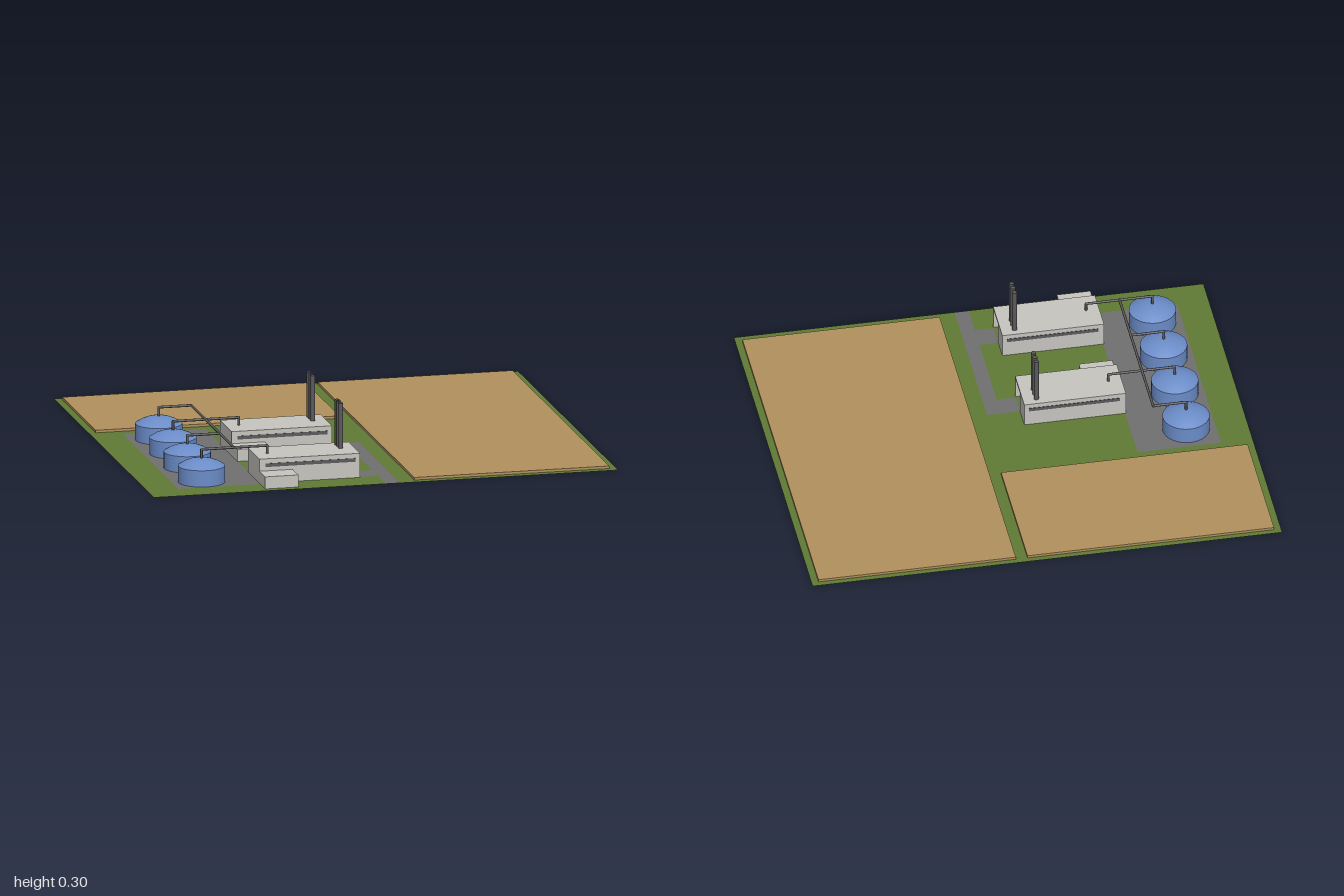
import * as THREE from 'three';

const mat = (name, color, double) => {
  const m = new THREE.MeshStandardMaterial({ color });
  m.name = name;
  if (double) m.side = THREE.DoubleSide;
  return m;
};

export function createModel() {
  const grass = mat('grass green', 0x5f7a35, true);
  const soil = mat('field tan', 0xb0905d, true);
  const asphalt = mat('asphalt grey', 0x717071, true);
  const wall = mat('wall grey', 0xc6c4bf);
  const steel = mat('dark steel', 0x5a5a5c);
  const blue = mat('tank blue', 0x6b8cc8, true);

  const root = new THREE.Group();
  root.name = 'industrialSite';
  const add = (parent, name, geo, material, x = 0, y = 0, z = 0) => {
    const m = new THREE.Mesh(geo, material);
    m.name = name;
    m.position.set(x, y, z);
    parent.add(m);
    return m;
  };
  // box given by its limits
  const box = (parent, name, material, x0, x1, y0, y1, z0, z1) =>
    add(parent, name, new THREE.BoxGeometry(x1 - x0, y1 - y0, z1 - z0), material,
      (x0 + x1) / 2, (y0 + y1) / 2, (z0 + z1) / 2);
  // flat sheets are outlined in x, z and laid on the ground
  const points = (list) => list.map(([x, z]) => new THREE.Vector2(x, -z));
  const rect = ([x0, x1, z0, z1]) => points([[x0, z0], [x1, z0], [x1, z1], [x0, z1]]);
  const sheet = (outline, holes = []) => {
    const s = new THREE.Shape(outline);
    s.holes = holes.map((h) => new THREE.Path(h));
    return new THREE.ShapeGeometry(s).rotateX(-Math.PI / 2);
  };

  const fields = [[-0.97, 0.08, -0.855, -0.265], [0.13, 0.97, -0.855, 0.845]];
  const pad = [-0.865, -0.51, -0.22, 0.76];
  const road = [[0, 0.88], [0, 0.74], [-0.08, 0.74], [-0.08, 0.637], [0, 0.637], [0, 0.25],
    [-0.08, 0.25], [-0.08, 0.152], [0.06, 0.152], [0.06, 0.88]];
  const tankX = -0.74, tankR = 0.099;
  const tankZ = [-0.095, 0.155, 0.405, 0.655];

  // Ground, cut out where the fields, pad and road lie
  const lawn = [[-1, -0.88], [-1, 0.88], ...road, [1, 0.88], [1, -0.88]];
  add(root, 'lawn', sheet(points(lawn), [...fields, pad].map(rect)), grass);
  add(root, 'road', sheet(points(road)), asphalt);
  const tankHoles = tankZ.map((z) =>
    new THREE.Path().absarc(tankX, -z, tankR, 0, Math.PI * 2).getPoints(16));
  add(root, 'tankPad', sheet(rect(pad), tankHoles), asphalt);

  // Raised fields: a top sheet with a low skirt
  const fieldH = 0.011;
  for (const f of fields) {
    const [x0, x1, z0, z1] = f;
    const g = new THREE.Group();
    g.name = 'field';
    add(g, 'fieldTop', sheet(rect(f)), soil, 0, fieldH, 0);
    const cx = (x0 + x1) / 2, cz = (z0 + z1) / 2;
    for (const s of [-1, 1]) {
      const a = add(g, 'fieldEdge', new THREE.PlaneGeometry(x1 - x0, fieldH), soil,
        cx, fieldH / 2, s > 0 ? z1 : z0);
      a.rotation.y = s > 0 ? 0 : Math.PI;
      const b = add(g, 'fieldEdge', new THREE.PlaneGeometry(z1 - z0, fieldH), soil,
        s > 0 ? x1 : x0, fieldH / 2, cz);
      b.rotation.y = s * Math.PI / 2;
    }
    root.add(g);
  }

  // Storage tanks, open below, with shallow domed roofs
  const roofProfile = [[0.099, 0.07], [0.075, 0.084], [0.05, 0.094], [0.026, 0.1], [0, 0.101]]
    .map(([r, y]) => new THREE.Vector2(r, y));
  for (const z of tankZ) {
    const g = new THREE.Group();
    g.name = 'tank';
    g.position.set(tankX, 0, z);
    add(g, 'tankWall', new THREE.CylinderGeometry(tankR, tankR, 0.07, 32, 1, true), blue, 0, 0.035, 0);
    add(g, 'tankRoof', new THREE.LatheGeometry(roofProfile, 32), blue);
    root.add(g);
  }

  // Pipework
  const pipeY = 0.138, pipeR = 0.0055, headerX = -0.6, dropX = -0.457;
  const pipe = (name, a, b) => {
    const p = new THREE.Vector3(...a), q = new THREE.Vector3(...b);
    const m = add(root, name, new THREE.CylinderGeometry(pipeR, pipeR, p.distanceTo(q), 10), steel);
    m.position.copy(p).add(q).multiplyScalar(0.5);
    m.quaternion.setFromUnitVectors(new THREE.Vector3(0, 1, 0), q.sub(p).normalize());
  };
  const elbow = (x, z) => add(root, 'pipeElbow', new THREE.SphereGeometry(pipeR, 10, 8), steel, x, pipeY, z);
  pipe('headerPipe', [headerX, pipeY, tankZ[0] - pipeR], [headerX, pipeY, tankZ[3] + pipeR]);
  tankZ.forEach((z, i) => {
    const feedsHall = i % 2 === 1;
    pipe('tankRiser', [tankX, 0.098, z], [tankX, pipeY, z]);
    elbow(tankX, z);
    pipe('branchPipe', [tankX, pipeY, z], [feedsHall ? dropX : headerX, pipeY, z]);
    if (feedsHall) {
      pipe('hallDrop', [dropX, 0.1, z], [dropX, pipeY, z]);
      elbow(dropX, z);
    }
  });

  // Factory halls
  const hall = (z) => {
    const g = new THREE.Group();
    g.name = 'factoryHall';
    g.position.z = z;
    const x0 = -0.513, x1 = -0.08, xr = -0.115, h = 0.105, d = 0.205;
    box(g, 'hallBody', wall, x0, xr, 0.001, h, 0, d);
    // loading bay recessed into the +x end
    box(g, 'bayBlock', wall, xr, x1, 0.001, h, 0, 0.1);
    box(g, 'bayFin', wall, xr, x1, 0.001, h, d - 0.005, d);
    box(g, 'bayLintel', wall, xr, x1, 0.094, h, 0.1, d - 0.005);
    box(g, 'bayDoor', soil, xr, xr + 0.003, 0.001, 0.047, 0.11, 0.188);
    box(g, 'annex', wall, x0, -0.37, 0.001, 0.053, d, d + 0.1);
    // long window strips, front and back
    box(g, 'frontWindowStrip', steel, -0.488, -0.1, 0.07, 0.085, d, d + 0.002);
    box(g, 'backWindowStrip', steel, -0.488, -0.1, 0.07, 0.085, -0.002, 0);
    for (let i = 0; i < 3; i++) {
      add(g, 'chimney', new THREE.CylinderGeometry(0.0105, 0.0105, 0.2, 16), steel,
        -0.138, 0.2, 0.035 + i * 0.031);
    }
    root.add(g);
  };
  hall(0.055);
  hall(0.545);

  return root;
}
